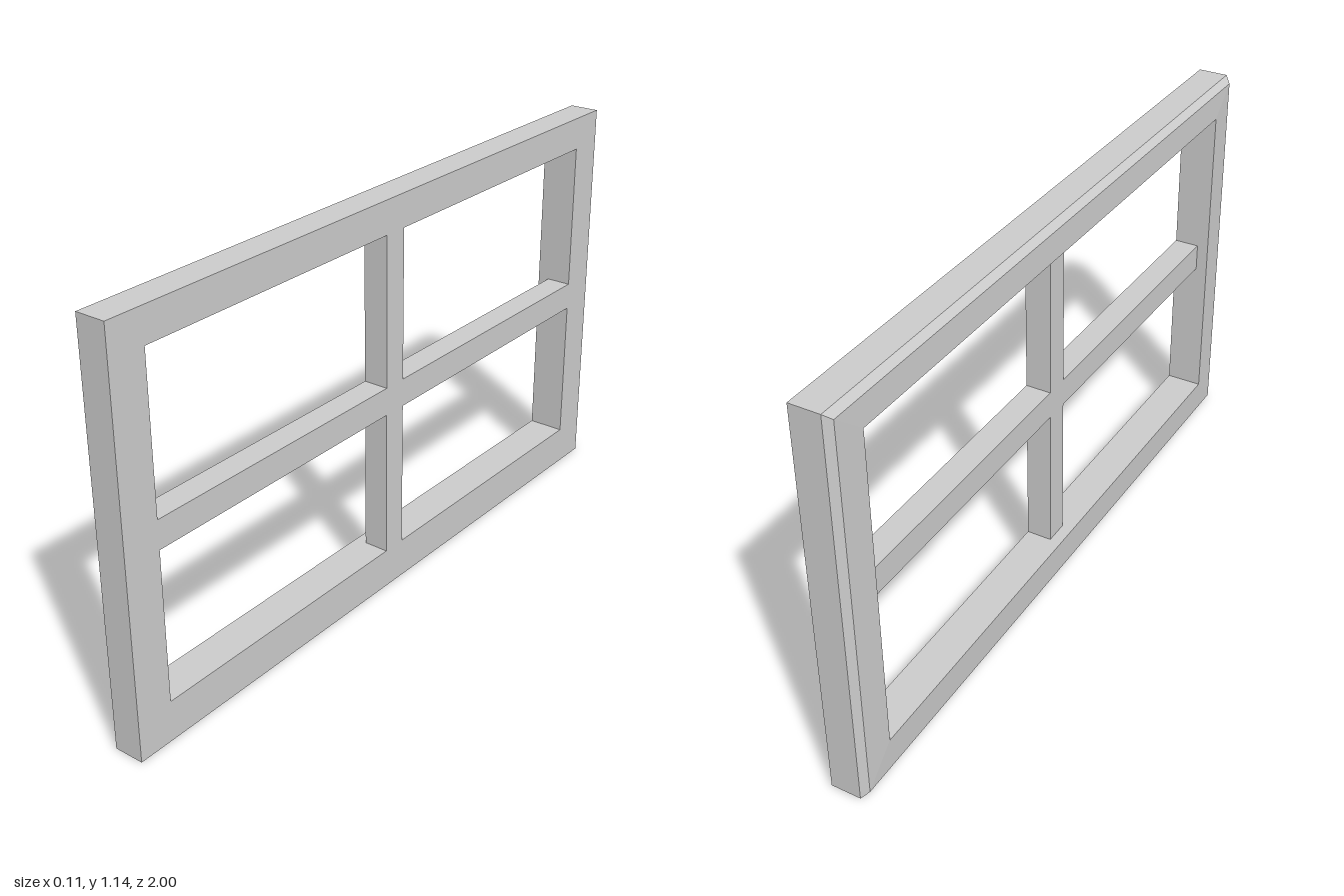
import * as THREE from 'three';

const HEIGHT = 1.143;
const FACE = 0.053; // half the frame thickness
const OPEN = { zHalf: 0.892, yLow: 0.114, yHigh: 1.049 };
const BAR_BACK = -0.02;

// Rectangular ring of corners in the yz plane at depth x
function ring(x, zHalf, yLow, yHigh) {
  return [[-zHalf, yLow], [zHalf, yLow], [zHalf, yHigh], [-zHalf, yHigh]]
    .map(([z, y]) => new THREE.Vector3(x, y, z));
}

// Mitred frame: rings follow the moulding profile around its closed section
function frameGeometry() {
  const rings = [
    ring(FACE, 1, 0, HEIGHT),
    ring(-0.033, 1, 0, HEIGHT),
    ring(-0.051, 0.983, 0.017, HEIGHT - 0.017),
    ring(-0.054, OPEN.zHalf, OPEN.yLow, OPEN.yHigh),
    ring(FACE, OPEN.zHalf, OPEN.yLow, OPEN.yHigh),
  ];
  const points = [];
  rings.forEach((a, i) => {
    const b = rings[(i + 1) % rings.length];
    for (let k = 0; k < 4; k++) {
      const n = (k + 1) % 4;
      points.push(a[k], a[n], b[n], a[k], b[n], b[k]);
    }
  });
  const geometry = new THREE.BufferGeometry().setFromPoints(points);
  geometry.computeVertexNormals();
  return geometry;
}

export function createModel() {
  const group = new THREE.Group();
  group.name = 'windowFrame';
  const material = new THREE.MeshStandardMaterial({ color: 0xcccccc, flatShading: true });

  const frame = new THREE.Mesh(frameGeometry(), material);
  frame.name = 'outerFrame';
  group.add(frame);

  // Glazing bars, flush with the flat face and recessed behind the moulded one
  function bar(name, yLow, yHigh, zHalf) {
    const depth = FACE - BAR_BACK;
    const mesh = new THREE.Mesh(new THREE.BoxGeometry(depth, yHigh - yLow, zHalf * 2), material);
    mesh.position.set((FACE + BAR_BACK) / 2, (yLow + yHigh) / 2, 0);
    mesh.name = name;
    group.add(mesh);
  }
  const barLow = 0.539, barHigh = 0.619, mullionHalf = 0.036;
  bar('horizontalBar', barLow, barHigh, OPEN.zHalf);
  bar('lowerVerticalBar', OPEN.yLow, barLow, mullionHalf);
  bar('upperVerticalBar', barHigh, OPEN.yHigh, mullionHalf);

  return group;
}
